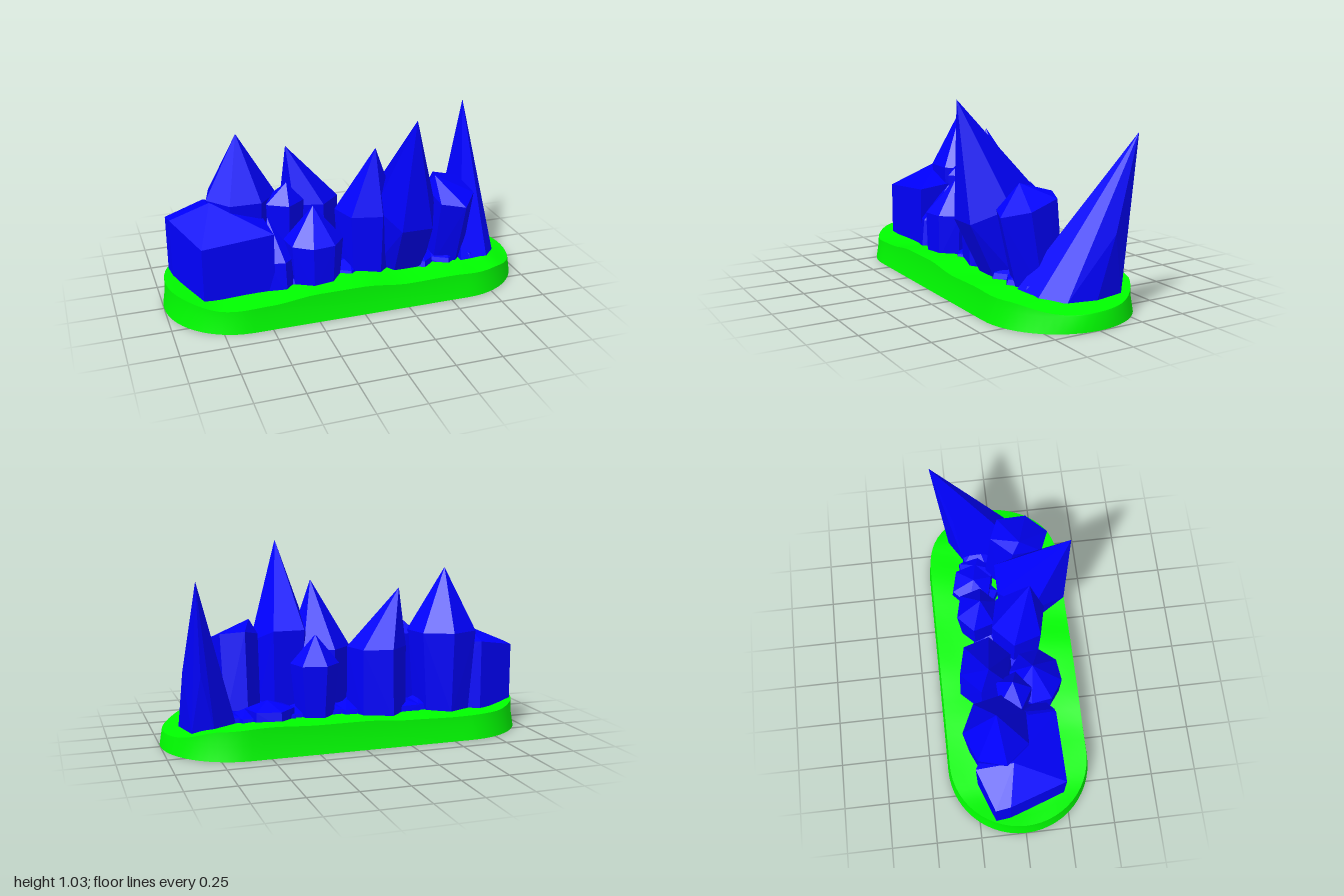
import * as THREE from 'three';
import { toCreasedNormals } from 'three/addons/utils/BufferGeometryUtils.js';
import { ConvexGeometry } from 'three/addons/geometries/ConvexGeometry.js';

const GROUND = 0.115; // crystals start slightly below the turf

// Rim heights at even steps from x = -1 to 1, for the front and back edges
const FRONT = [0.16, 0.122, 0.132, 0.157, 0.158, 0.135, 0.14, 0.13, 0.082];
const BACK = [0.16, 0.135, 0.13, 0.135, 0.15, 0.15, 0.16, 0.15, 0.08];

function sample(table, x) {
  const t = THREE.MathUtils.clamp((x + 1) * 4, 0, 7.999);
  const i = Math.floor(t);
  return THREE.MathUtils.lerp(table[i], table[i + 1], THREE.MathUtils.smoothstep(t - i, 0, 1));
}

function groundHeight(x, z) {
  const edge = THREE.MathUtils.lerp(sample(BACK, x), sample(FRONT, x), (z + 0.4) / 0.8);
  const inside = 1 - Math.min(Math.abs(z) / 0.39, 1);
  return edge - 0.015 * inside * (1 - Math.abs(x)) + 0.008 * inside * Math.sin(9 * x + 5 * z);
}

// Capsule-shaped plinth: loops around a straight spine, from underside to top
function plinthGeometry() {
  const outline = []; // [spine x, direction x, direction z]
  const arc = 28, straight = 20;
  for (const side of [1, -1]) {
    for (let i = 0; i <= arc; i++) {
      const a = -Math.PI / 2 + Math.PI * i / arc;
      outline.push([side * 0.6, side * Math.cos(a), -side * Math.sin(a)]);
    }
    for (let i = 1; i < straight; i++) {
      outline.push([side * (0.6 - 1.2 * i / straight), 0, -side]);
    }
  }
  // Radius and height of each loop; loops without a height follow the turf
  const loops = [[0, 0], [0.4, 0], [0.387, 0.08], [0.385], [0.33], [0.26], [0.18], [0.09], [0]];
  const positions = [], index = [], n = outline.length;
  for (const [r, y] of loops) {
    for (const [s, dx, dz] of outline) {
      const x = s + r * dx, z = r * dz;
      positions.push(x, y ?? groundHeight(x, z), z);
    }
  }
  for (let j = 0; j < loops.length - 1; j++) {
    for (let k = 0; k < n; k++) {
      const a = j * n + k, b = j * n + (k + 1) % n;
      index.push(a, b, b + n, a, b + n, a + n);
    }
  }
  const geometry = new THREE.BufferGeometry();
  geometry.setAttribute('position', new THREE.Float32BufferAttribute(positions, 3));
  geometry.setIndex(index);
  return toCreasedNormals(geometry, 0.6);
}

// Ring of corners for a foot or shoulder; slope tilts it along z
function ring(x, y, z, rx, rz, sides, turn = 0, slope = 0) {
  return Array.from({ length: sides }, (_, i) => {
    const a = turn + i * 2 * Math.PI / sides;
    const dz = rz * Math.sin(a);
    return new THREE.Vector3(x + rx * Math.cos(a), y + slope * dz, z + dz);
  });
}

export function createModel() {
  const group = new THREE.Group();
  const green = new THREE.MeshStandardMaterial({ color: 0x00ff00 });
  const blue = new THREE.MeshStandardMaterial({ color: 0x0000ff, flatShading: true });

  function add(name, geometry, material) {
    const mesh = new THREE.Mesh(geometry, material);
    mesh.name = name;
    group.add(mesh);
  }
  function addCrystal(name, ...points) {
    add(name, new ConvexGeometry(points), blue);
  }
  const point = (x, y, z) => new THREE.Vector3(x, y, z);

  add('plinth', plinthGeometry(), green);

  // Upright crystals: centre x and z, radius, shoulder height, sides, tip, foot scale
  function addPrism(name, x, z, r, shoulder, sides, tip, foot = 0.88) {
    addCrystal(name,
      ...ring(x, GROUND, z, r * foot, r * foot, sides, 0.25),
      ...ring(x, shoulder, z, r, r * 0.92, sides, 0.25),
      tip);
  }
  addPrism('backLeftSpire', -0.54, -0.11, 0.195, 0.56, 7, point(-0.55, 0.9, -0.11), 0.8);
  addPrism('leaningSpire', -0.15, -0.13, 0.16, 0.49, 6, point(-0.28, 0.8, -0.12), 1);
  addPrism('smallPoint', -0.33, 0, 0.11, 0.54, 5, point(-0.31, 0.64, 0));
  addPrism('frontGem', -0.205, 0.14, 0.16, 0.36, 8, point(-0.2, 0.54, 0.12));
  addPrism('middleSpire', 0.11, 0.08, 0.17, 0.47, 6, point(0.14, 0.83, 0.14));
  addPrism('backGem', 0.2, -0.14, 0.13, 0.42, 6, point(0.19, 0.57, -0.12), 0.75);
  addPrism('backStub', 0.45, -0.15, 0.13, 0.2, 6, point(0.46, 0.24, -0.14), 1);
  addPrism('frontStub', -0.41, 0.14, 0.1, 0.28, 6, point(-0.43, 0.47, 0.04), 1.1);

  // Low crystal bed filling the gaps between the tall crystals
  for (let i = 0; i < 11; i++) {
    const x = -0.72 + 0.14 * i;
    for (const side of [-1, 1]) {
      const z = side * (0.1 + 0.02 * Math.sin(5 * i));
      addPrism('bedCrystal', x, z, 0.12, 0.165, 5, point(x + 0.03, 0.2, z), 1.05);
    }
  }

  // Broad block at one end: upright walls under an uneven top
  const blockTop = [
    point(-0.94, 0.46, -0.16), point(-0.93, 0.47, -0.08), point(-0.82, 0.42, 0.23),
    point(-0.44, 0.45, 0.22), point(-0.46, 0.48, -0.1), point(-0.72, 0.5, -0.24),
  ];
  addCrystal('endBlock',
    ...blockTop, ...blockTop.map(p => point(p.x, GROUND, p.z)), point(-0.72, 0.56, -0.04));

  // Tallest spire, leaning out over the front
  addCrystal('tallSpire',
    ...ring(0.31, GROUND, 0.1, 0.15, 0.12, 6),
    ...ring(0.305, 0.5, 0.165, 0.17, 0.215, 6, 0, -0.42),
    point(0.28, 1.035, 0.365));

  // Blunt crystal beside the tallest spire
  addCrystal('bluntCrystal',
    ...ring(0.57, GROUND, 0.07, 0.12, 0.14, 6, 0.3),
    ...ring(0.575, 0.54, 0.14, 0.13, 0.17, 6, 0.3, -0.28),
    point(0.49, 0.63, 0.13));

  // Backward-leaning spike at the other end
  addCrystal('endSpike',
    point(0.62, GROUND, 0.24), point(0.79, GROUND, 0.22), point(0.88, GROUND, 0.1),
    point(0.91, GROUND, -0.05), point(0.87, GROUND, -0.22), point(0.76, GROUND, -0.26),
    point(0.63, GROUND, -0.18), point(0.9, 0.42, -0.16), point(0.83, 0.42, -0.285),
    point(0.73, 0.48, -0.22), point(0.85, 0.895, -0.32));

  return group;
}
